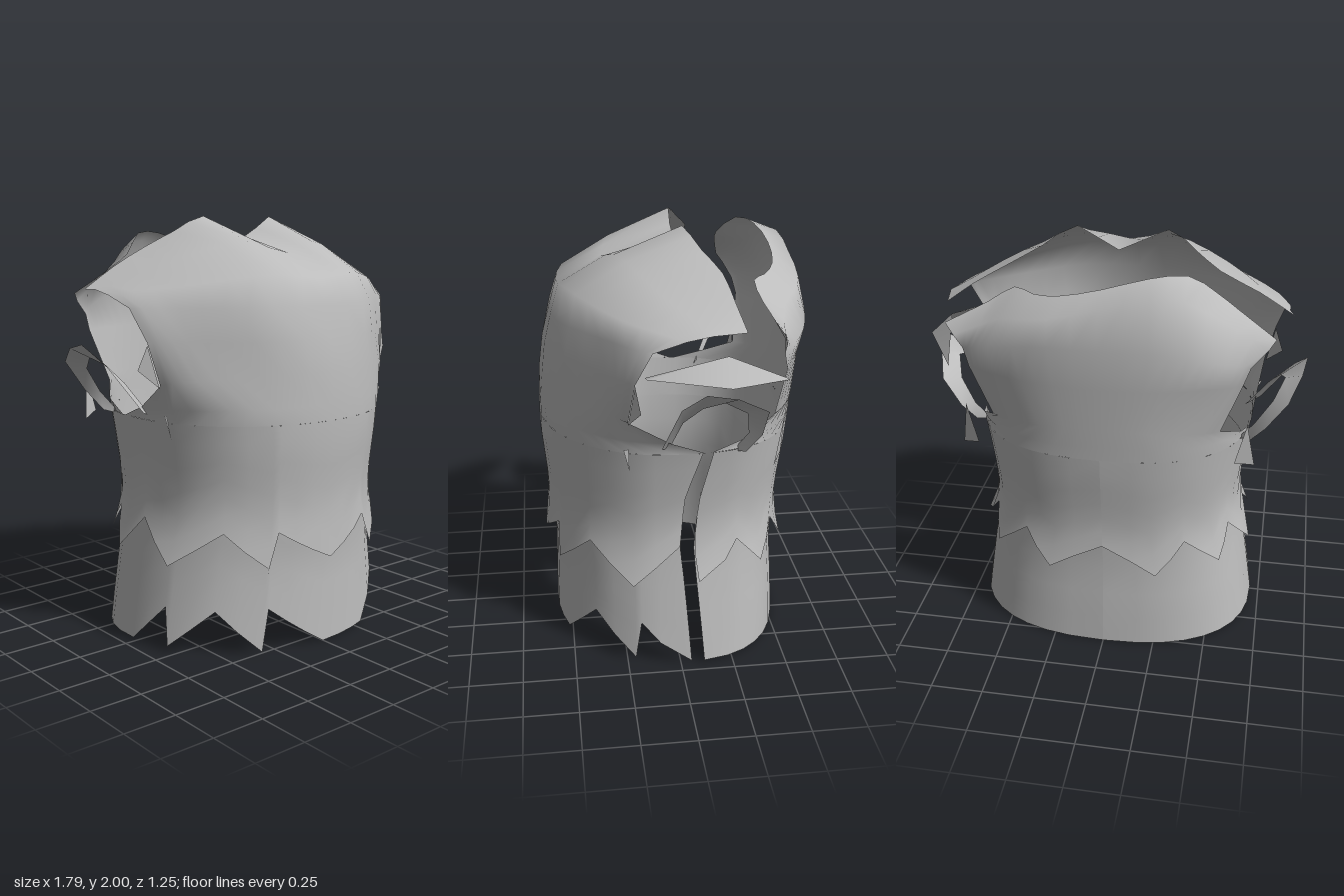
import * as THREE from 'three';

const cloth = new THREE.MeshStandardMaterial({ color: 0xbcbcbc, side: THREE.DoubleSide });
cloth.name = 'grey cloth';

// Body sections: height, half width, front depth, back depth
const SECTIONS = [
  [0, 0.715, 0.575, 0.55], [0.2, 0.685, 0.57, 0.545], [0.45, 0.645, 0.565, 0.53],
  [0.58, 0.625, 0.59, 0.54], [0.75, 0.615, 0.595, 0.55], [1, 0.645, 0.62, 0.585],
  [1.26, 0.69, 0.615, 0.605],
];

// Linear lookup in a table whose first column is the key
function lookup(table, k, col) {
  for (let i = 1; i < table.length; i++) {
    const a = table[i - 1], b = table[i];
    if (k <= b[0]) return a[col] + (b[col] - a[col]) * Math.max(0, (k - a[0]) / (b[0] - a[0]));
  }
  return table[table.length - 1][col];
}

// Point on the body; the angle runs from the front (0) to the back (180), which is squarer
function bodyPoint(deg, y, grow = 0) {
  const t = THREE.MathUtils.degToRad(deg), s = Math.sin(t), c = Math.cos(t);
  const power = c > 0 ? 0.96 : 0.8;
  const depth = lookup(SECTIONS, y, c > 0 ? 2 : 3) + grow;
  const width = lookup(SECTIONS, y, 1) + grow;
  return [width * Math.sign(s) * Math.abs(s) ** power, y, depth * Math.sign(c) * Math.abs(c) ** power];
}

// Surface through rows of points; skip(column) leaves a gap
function sheet(name, rows, skip = () => false) {
  const n = rows[0].length, index = [];
  for (let r = 0; r < rows.length - 1; r++) {
    for (let c = 0; c < n - 1; c++) {
      if (skip(c)) continue;
      const a = r * n + c, b = a + n;
      index.push(a, a + 1, b, b, a + 1, b + 1);
    }
  }
  const g = new THREE.BufferGeometry();
  g.setAttribute('position', new THREE.Float32BufferAttribute(rows.flat(2), 3));
  g.setIndex(index);
  g.computeVertexNormals();
  const mesh = new THREE.Mesh(g, cloth);
  mesh.name = name;
  return mesh;
}

const flip = ([x, y, z]) => [-x, y, z];
// Full row from a half; a second half makes the two sides differ
const fullRow = (half, other = half) => [...other.slice(1).reverse().map(flip), ...half];
const mirrorHem = (half) => [...half.slice(1).reverse().map(([t, y]) => [-t, y]), ...half];

// Adds a point midway along a smooth curve between neighbours
function refine(row) {
  const curve = new THREE.CatmullRomCurve3(row.map((p) => new THREE.Vector3(...p)));
  return curve.getPoints((row.length - 1) * 2).map((p) => p.toArray());
}

// Half a body row between two angles
function arc(y0, y1, from, to) {
  const row = [];
  for (let i = 0; i <= 5; i++) row.push(bodyPoint(from + (to - from) * i / 5, y0 + (y1 - y0) * i / 5));
  return row;
}

// Wrap-around layer with a jagged hem and one open side slit
function wrap(name, hem, top, inset, flare) {
  const cols = [];
  hem.forEach(([t, y], i) => {
    if (i) {
      const [t0, y0] = hem[i - 1], steps = Math.ceil((t - t0) / 11);
      for (let s = 1; s < steps; s++) cols.push([t0 + (t - t0) * s / steps, y0 + (y - y0) * s / steps]);
    }
    cols.push([t, y]);
  });
  // Height, then how far the front and back slit edges lean backwards
  const lean = [[0, 3, -2], [0.6, 0, -6], [0.86, 1, -4], [1.08, 6, 0]];
  const rows = [];
  for (let r = 0; r <= 6; r++) {
    rows.push(cols.map(([t, low]) => {
      const y = top + (low - top) * r / 6;
      const angle = t === 90 ? t + lookup(lean, y, 1) : t === 100 ? t + lookup(lean, y, 2) : t;
      return bodyPoint(angle, y, inset + Math.max(0, 0.62 - y) * flare);
    }));
  }
  const slit = cols.findIndex(([t]) => t === 90);
  return sheet(name, rows, (c) => c === slit);
}

export function createModel() {
  const group = new THREE.Group();
  group.name = 'tornVest';

  // Lower layer, jagged in front and straight behind
  group.add(wrap('lowerLayer', [
    [-180, 0], [-100, 0.015], [-90, 0.02], [-72, 0.21], [-69, 0.03], [-48, 0.21], [-27, 0.01], [-25, 0.21],
    [0, 0], [25, 0.005], [47, 0.21], [69, 0.03], [72, 0.21], [90, 0.02], [100, 0.015], [180, 0],
  ], 0.87, -0.006, 0));

  // Upper layer with a jagged hem all around
  group.add(wrap('upperLayer', mirrorHem([
    [0, 0.43], [24, 0.58], [27, 0.42], [48, 0.58], [70, 0.42], [90, 0.6], [100, 0.44],
    [115, 0.6], [130, 0.46], [147, 0.6], [163, 0.44], [180, 0.58],
  ]), 1.08, 0, 0.25));

  // Chest, rising over the shoulders to the neckline
  const chest = [
    arc(1.08, 1.08, 0, 97),
    arc(1.16, 1.14, 0, 86),
    [[0, 1.3, 0.61], [0.25, 1.3, 0.565], [0.44, 1.29, 0.46], [0.58, 1.28, 0.36], [0.66, 1.27, 0.28], [0.695, 1.26, 0.24]],
    [[0, 1.45, 0.59], [0.27, 1.45, 0.55], [0.46, 1.45, 0.43], [0.6, 1.45, 0.32], [0.7, 1.45, 0.25], [0.74, 1.45, 0.21]],
    [[0, 1.6, 0.55], [0.28, 1.6, 0.52], [0.47, 1.6, 0.4], [0.62, 1.6, 0.29], [0.75, 1.6, 0.19], [0.785, 1.6, 0.14]],
    [[0, 1.72, 0.515], [0.22, 1.74, 0.48], [0.42, 1.72, 0.38], [0.6, 1.69, 0.25], [0.74, 1.67, 0.1], [0.8, 1.65, 0]],
    [[0, 1.83, 0.3], [0.2, 1.88, 0.25], [0.4, 1.84, 0.16], [0.58, 1.77, 0.06], [0.71, 1.71, -0.05], [0.8, 1.67, -0.11]],
  ].map((row) => fullRow(row));
  chest.push(fullRow(
    [[0, 1.89, -0.05], [0.19, 2, -0.06], [0.34, 1.92, -0.13], [0.48, 1.85, -0.2], [0.64, 1.76, -0.23], [0.77, 1.67, -0.26]],
    [[0, 1.89, -0.05], [0.23, 2, -0.05], [0.36, 1.93, -0.11], [0.48, 1.86, -0.17], [0.66, 1.77, -0.17], [0.82, 1.67, -0.17]],
  ));
  group.add(sheet('chestPanel', chest.map(refine)));

  // Back, folding forward at the top and torn lower on its left
  const back = [
    arc(1.08, 1.08, 180, 99),
    arc(1.15, 1.13, 180, 115),
    arc(1.25, 1.2, 180, 133),
    [[0, 1.45, -0.62], [0.2, 1.45, -0.61], [0.35, 1.45, -0.58], [0.47, 1.45, -0.54], [0.56, 1.45, -0.5], [0.62, 1.45, -0.47]],
    [[0, 1.64, -0.635], [0.22, 1.64, -0.625], [0.38, 1.62, -0.6], [0.5, 1.59, -0.565], [0.59, 1.56, -0.51], [0.65, 1.53, -0.45]],
  ].map((row) => fullRow(row));
  back.push(fullRow(
    [[0, 1.82, -0.605], [0.22, 1.76, -0.6], [0.36, 1.73, -0.55], [0.46, 1.7, -0.49], [0.56, 1.65, -0.46], [0.69, 1.59, -0.45]],
    [[0, 1.82, -0.605], [0.22, 1.88, -0.59], [0.36, 1.85, -0.54], [0.46, 1.78, -0.48], [0.58, 1.7, -0.44], [0.72, 1.6, -0.41]],
  ), fullRow(
    [[0, 1.87, -0.5], [0.2, 1.82, -0.48], [0.32, 1.8, -0.42], [0.42, 1.8, -0.35], [0.54, 1.73, -0.37], [0.73, 1.64, -0.43]],
    [[0, 1.87, -0.5], [0.2, 1.92, -0.47], [0.36, 1.92, -0.41], [0.48, 1.82, -0.33], [0.58, 1.75, -0.34], [0.75, 1.64, -0.38]],
  ));
  group.add(sheet('backPanel', back.map(refine)));

  // Torn sleeve remains on both sides
  const outer = [[0.09, 1.12], [0.02, 1.35], [-0.08, 1.43], [-0.22, 1.4], [-0.36, 1.32], [-0.35, 1.18], [-0.29, 1.08]];
  const inner = [[0.05, 1.09], [0, 1.25], [-0.08, 1.33], [-0.17, 1.36], [-0.28, 1.29], [-0.3, 1.17], [-0.24, 1.06]];
  for (const side of [1, -1]) {
    const place = (p) => (side > 0 ? p : flip(p));
    const name = side > 0 ? 'left' : 'right';
    const slope = side > 0 ? 0.55 : 0.68;
    const band = (points, out) => points.map(([z, y]) => place([0.64 + (y - 1.05) * slope + out, y, z]));
    group.add(sheet(name + 'SleeveArch', [band(outer, 0), band(inner, -0.05)]));
    // Small frayed flaps around the armhole
    const flaps = [
      [[0.69, 1.13, 0.26], [0.66, 1.12, 0.235], [0.63, 1.0, 0.23]],
      [[0.74, 1.44, 0.21], [0.7, 1.25, 0.24], [0.78, 1.33, 0.19]],
      [[0.65, 1.25, -0.46], [0.6, 1.05, -0.46], [0.69, 1.02, -0.41]],
    ];
    for (const [a, b, c] of flaps) {
      group.add(sheet(name + 'Flap', [[place(a), place(b)], [place(c), place(c)]]));
    }
  }
  // Loose strip across the left armhole
  group.add(sheet('leftSleeveStrip', [
    [[0.74, 1.48, 0.17], [0.78, 1.575, -0.18], [0.72, 1.44, -0.46]],
    [[0.74, 1.47, 0.16], [0.89, 1.47, -0.18], [0.72, 1.435, -0.45]],
  ]));
  return group;
}
